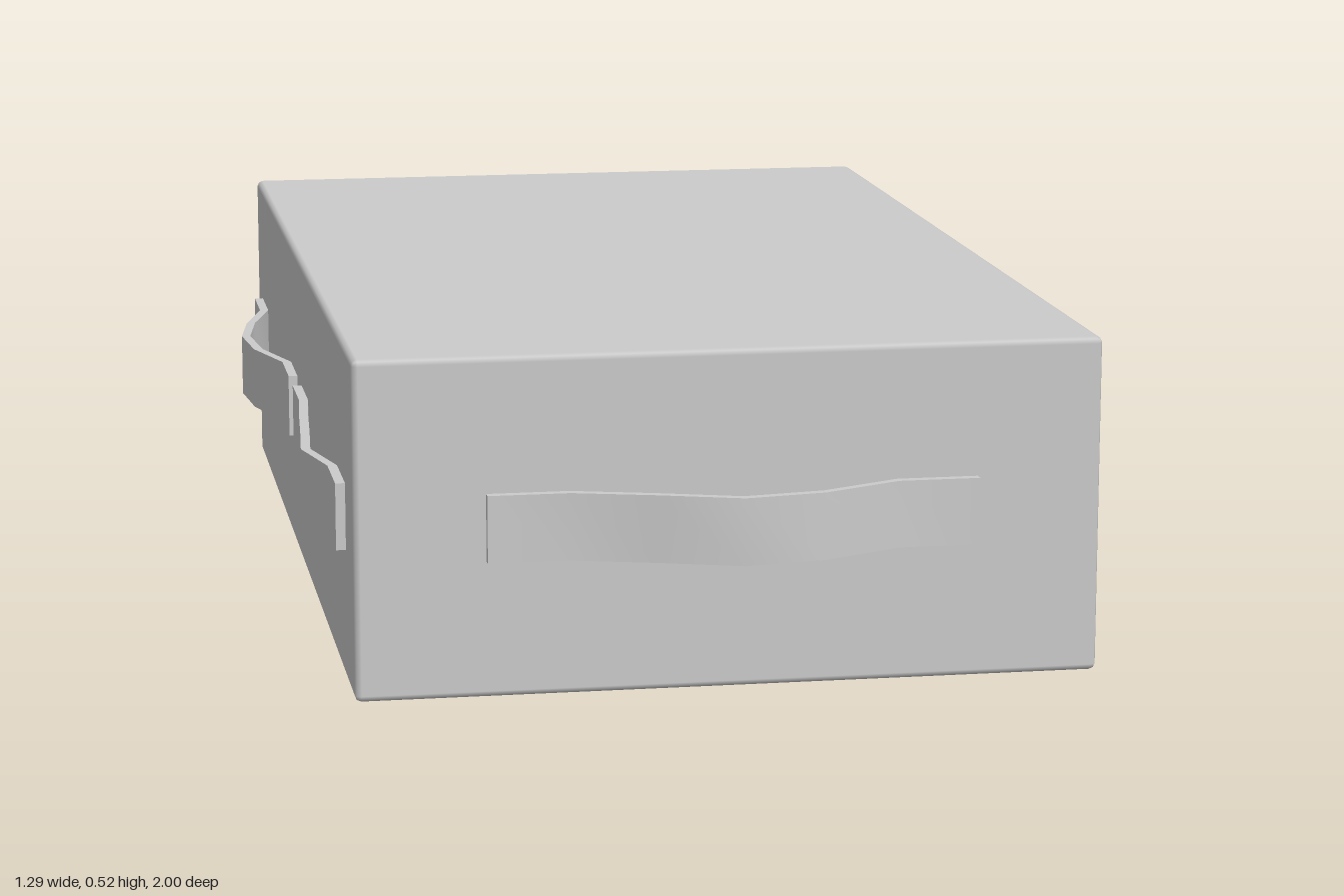
import * as THREE from 'three';
import { toCreasedNormals } from 'three/addons/utils/BufferGeometryUtils.js';
import { RoundedBoxGeometry } from 'three/addons/geometries/RoundedBoxGeometry.js';

const W = 1.15, H = 0.525, D = 1.81; // case size
const CX = -0.003;                   // case centre in x
const STRAP_T = 0.015, STRAP_H = 0.104, STRAP_Y = 0.212;
const HALF = 0.378, STEP = 0.126;    // strap half length, spacing of its bends

const material = new THREE.MeshStandardMaterial({ color: 0xcccccc, side: THREE.DoubleSide });

// Strap bulging towards -z; bulge lists how far its five inner bends stand off the wall
function strapGeometry(bulge) {
  const offsets = [0.016, ...bulge, 0.016];
  const outer = offsets.map((o, i) => new THREE.Vector2(-HALF + i * STEP, o));
  const inner = outer.map(p => new THREE.Vector2(p.x, p.y - STRAP_T)).reverse();
  const shape = new THREE.Shape([...inner, ...outer]);
  const geo = new THREE.ExtrudeGeometry(shape, { depth: STRAP_H, bevelEnabled: false });
  geo.rotateX(-Math.PI / 2);
  return toCreasedNormals(geo, 0.7);
}

export function createModel() {
  const model = new THREE.Group();
  model.name = 'case';

  // Box with narrow softened edges
  const body = new THREE.Mesh(new RoundedBoxGeometry(W, H, D, 1, 0.01), material);
  body.name = 'body';
  body.position.set(CX, H / 2, 0);
  model.add(body);

  // Handle straps: name, position on wall, turn about y, bends
  const left = CX + W / 2, right = CX - W / 2, q = Math.PI / 2;
  const straps = [
    ['backHandle', 0, -D / 2, 0, [0.016, 0.065, 0.094, 0.083, 0.016]],
    ['frontHandle', 0, D / 2, Math.PI, [0.016, 0.075, 0.094, 0.052, 0.016]],
    ['leftBackHandle', left, -0.42, -q, [0.016, 0.042, 0.064, 0.073, 0.016]],
    ['leftFrontHandle', left, 0.42, -q, [0.016, 0.048, 0.06, 0.053, 0.016]],
    ['rightBackHandle', right, -0.42, q, [0.016, 0.056, 0.068, 0.05, 0.016]],
    ['rightFrontHandle', right, 0.42, q, [0.016, 0.046, 0.036, 0.027, 0.016]],
  ];
  for (const [name, x, z, turn, bulge] of straps) {
    const strap = new THREE.Mesh(strapGeometry(bulge), material);
    strap.name = name;
    strap.position.set(x, STRAP_Y, z);
    strap.rotation.y = turn;
    model.add(strap);
  }
  return model;
}
